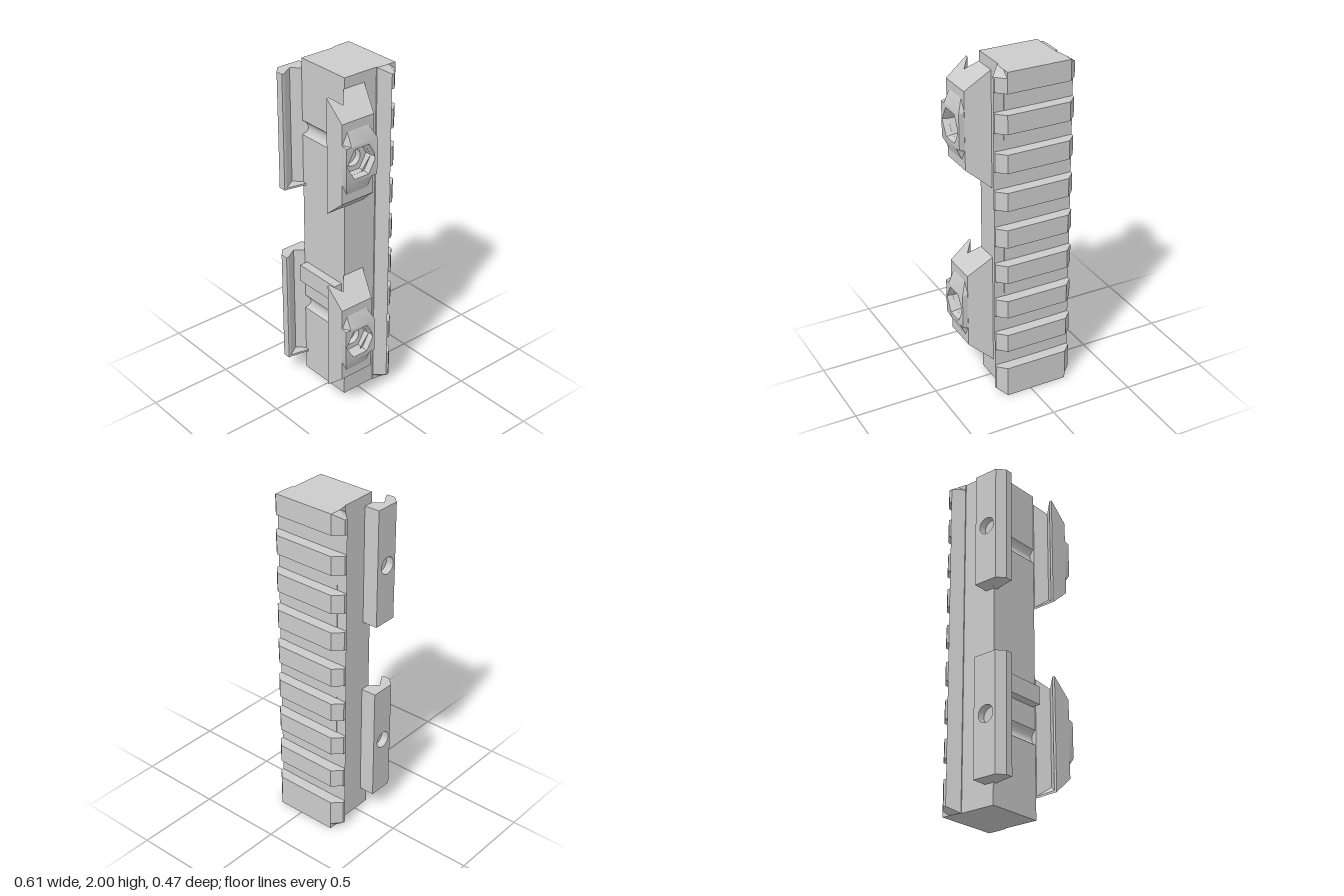
import * as THREE from 'three';
import { toCreasedNormals } from 'three/addons/utils/BufferGeometryUtils.js';

const material = new THREE.MeshStandardMaterial({ color: 0xcccccc, side: THREE.DoubleSide });
const BORE_Z = 0.13;

// Moves every vertex by a rule, then rebuilds the normals with sharp edges.
function finish(geo, rule) {
  const p = geo.attributes.position;
  const v = new THREE.Vector3();
  if (rule) {
    for (let i = 0; i < p.count; i++) {
      rule(v.fromBufferAttribute(p, i));
      p.setXYZ(i, v.x, v.y, v.z);
    }
  }
  geo.computeVertexNormals();
  return toCreasedNormals(geo, 0.5);
}

function add(group, name, geo) {
  const mesh = new THREE.Mesh(geo, material);
  mesh.name = name;
  group.add(mesh);
  return mesh;
}

// Prism standing along y from [x, z] points.
function prismY(points, y0, y1, rule) {
  const shape = new THREE.Shape(points.map(([x, z]) => new THREE.Vector2(x, -z)));
  const geo = new THREE.ExtrudeGeometry(shape, { depth: y1 - y0, bevelEnabled: false });
  geo.rotateX(-Math.PI / 2).translate(0, y0, 0);
  return finish(geo, rule);
}

// Prism lying along x from [z, y] points, with an optional round or hexagonal bore.
function prismX(points, x0, x1, rule, bore) {
  const shape = new THREE.Shape(points.map(([z, y]) => new THREE.Vector2(-z, y)));
  if (bore) {
    const ring = [];
    for (let i = 0; i < bore.sides; i++) {
      const a = (i / bore.sides) * Math.PI * 2;
      ring.push(new THREE.Vector2(-BORE_Z + bore.r * Math.cos(a), bore.r * Math.sin(a)));
    }
    shape.holes.push(new THREE.Path(ring));
  }
  const geo = new THREE.ExtrudeGeometry(shape, { depth: x1 - x0, bevelEnabled: false });
  geo.rotateY(Math.PI / 2).translate(x0, 0, 0);
  return finish(geo, rule);
}

const rect = (z0, z1, h) => [[z0, -h], [z1, -h], [z1, h], [z0, h]];
const round = { sides: 32, r: 0.05 };
const hex = { sides: 6, r: 0.09 };
const CLAMP_Y = [0.468, 1.594];
const H = 0.346;

// Rail with chamfered ends, cross teeth and screw grooves across the front.
function createRail() {
  const rail = new THREE.Group();
  rail.name = 'rail';
  const chamfer = (v) => {
    if (v.y < 0.001 || v.y > 1.999) v.x = THREE.MathUtils.clamp(v.x, -0.225, 0.15);
  };

  const core = [[-0.17, 0], [0.105, 0]];
  for (const y of CLAMP_Y) {
    for (let i = 0; i <= 12; i++) {
      const a = -1.05 + (2.1 * i) / 12;
      core.push([BORE_Z - 0.05 * Math.cos(a), y + 0.05 * Math.sin(a)]);
    }
  }
  // square off the groove mouths at the front face
  core.forEach((p) => { if (p[0] > 0.103) p[0] = 0.105; });
  core.push([0.105, 2], [-0.17, 2]);
  add(rail, 'railCore', prismX(core, -0.212, 0.138));

  const flange = [[-0.275, -0.168], [0.2, -0.168], [0.145, -0.112], [-0.217, -0.112]];
  for (const [a, b] of [[0, 0.035], [0.035, 1.965], [1.965, 2]]) {
    add(rail, 'railFlange', prismY(flange, a, b, chamfer));
  }

  const tooth = [[-0.225, -0.235], [0.15, -0.235], [0.2, -0.185], [0.2, -0.168],
    [-0.275, -0.168], [-0.275, -0.185]];
  const spans = [[0, 0.035], [0.035, 0.185], [1.88, 1.965], [1.965, 2]];
  for (let i = 0; i < 7; i++) spans.push([0.302 + 0.225 * i, 0.412 + 0.225 * i]);
  for (const [a, b] of spans) add(rail, 'railTooth', prismY(tooth, a, b, chamfer));

  // Locating lug on the front
  const lug = add(rail, 'recoilLug', new THREE.BoxGeometry(0.305, 0.106, 0.07));
  lug.position.set(-0.038, 0.695, 0.122);
  return rail;
}

// Movable jaw: tapered ends, V groove closed at the bottom, hexagonal nut pocket.
function createMovableJaw() {
  const jaw = new THREE.Group();
  jaw.name = 'movableJaw';
  const taper = (v) => {
    const out = Math.max(0, v.x - 0.137);
    if (Math.abs(v.y) > 0.2) v.y -= Math.sign(v.y) * out * 0.86;
    if (v.z < -0.02) v.z = -0.03 + out * 0.376;
  };
  add(jaw, 'jawBackLip',
    prismY([[0.137, -0.03], [0.2, -0.03], [0.2, 0.163], [0.137, 0.11]], -H, H, taper));
  add(jaw, 'jawFrontLip',
    prismY([[0.15, 0.235], [0.15, 0.22], [0.2, 0.163], [0.2, 0.235]], -H, H, taper));
  add(jaw, 'jawGrooveFloor',
    prismY([[0.137, 0.11], [0.2, 0.163], [0.15, 0.22]], -H, -H + 0.012, taper));
  add(jaw, 'jawInnerPlate', prismX(rect(-0.03, 0.235, H), 0.2, 0.235, taper, round));
  add(jaw, 'jawOuterPlate', prismX(rect(-0.03, 0.235, H), 0.235, 0.272, taper, hex));

  // Raised boss around the nut, ramped above and below
  const boss = [[0.022, -0.115], [0.06, -0.185], [0.2, -0.185], [0.235, -0.115],
    [0.235, 0.115], [0.2, 0.185], [0.06, 0.185], [0.022, 0.115]];
  add(jaw, 'nutBoss', prismX(boss, 0.27, 0.305, (v) => {
    if (v.x < 0.3) return;
    if (Math.abs(v.y) > 0.1) v.y = Math.sign(v.y) * 0.105;
    else if (Math.hypot(v.y, v.z - BORE_Z) < 0.095) {
      v.y *= 1.1;
      v.z = BORE_Z + (v.z - BORE_Z) * 1.1;
    }
  }, hex));
  return jaw;
}

// Fixed jaw on the other side: square ends, bevelled outer edge, round screw bore.
function createFixedJaw() {
  const jaw = new THREE.Group();
  jaw.name = 'fixedJaw';
  add(jaw, 'fixedJawPlate', prismX(rect(0.048, 0.235, H), -0.305, -0.26, (v) => {
    if (v.x < -0.3 && v.z > 0.23) v.z = 0.195;
  }, round));
  add(jaw, 'fixedJawBackLip', prismY(
    [[-0.26, 0.048], [-0.207, 0.048], [-0.185, 0.073], [-0.26, 0.148]], -H, H));
  add(jaw, 'fixedJawFrontLip', prismY(
    [[-0.26, 0.148], [-0.215, 0.22], [-0.215, 0.235], [-0.26, 0.235]], -H, H));
  add(jaw, 'fixedJawGrooveFloor', prismY(
    [[-0.26, 0.148], [-0.215, 0.104], [-0.19, 0.104], [-0.215, 0.22]], -H, -H + 0.012));
  return jaw;
}

export function createModel() {
  const model = new THREE.Group();
  model.name = 'clampOnRail';
  model.add(createRail());
  for (const y of CLAMP_Y) {
    const clamp = new THREE.Group();
    clamp.name = 'clamp';
    clamp.add(createMovableJaw(), createFixedJaw());
    clamp.position.y = y;
    model.add(clamp);
  }
  return model;
}
